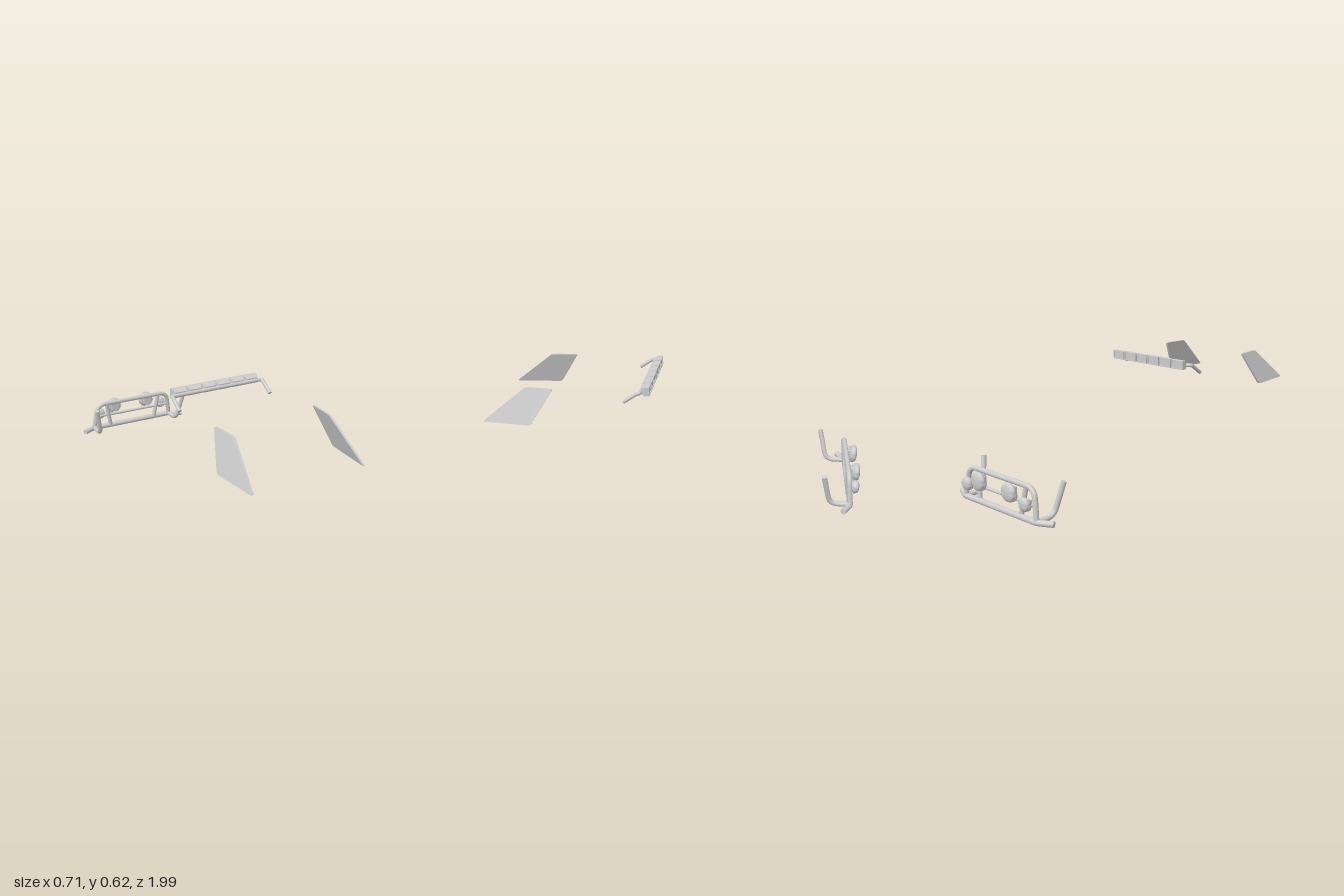
import * as THREE from 'three';
import { toCreasedNormals } from 'three/addons/utils/BufferGeometryUtils.js';

const material = new THREE.MeshStandardMaterial({ color: 0xcccccc });

function add(parent, name, geometry, x = 0, y = 0, z = 0) {
  const mesh = new THREE.Mesh(geometry, material);
  mesh.name = name;
  mesh.position.set(x, y, z);
  parent.add(mesh);
  return mesh;
}

function group(parent, name) {
  const g = new THREE.Group();
  g.name = name;
  parent.add(g);
  return g;
}

// Capped tube along straight runs with rounded corners.
function pipe(parent, name, points, radius, bend = 0.02) {
  const pts = points.map(p => new THREE.Vector3(...p));
  const path = new THREE.CurvePath();
  let from = pts[0];
  for (let i = 1; i < pts.length - 1; i++) {
    const p = pts[i];
    const toward = q => p.clone().add(q.clone().sub(p).setLength(Math.min(bend, q.distanceTo(p) * 0.48)));
    const a = toward(pts[i - 1]), b = toward(pts[i + 1]);
    path.add(new THREE.LineCurve3(from, a));
    path.add(new THREE.QuadraticBezierCurve3(a, p, b));
    from = b;
  }
  const end = pts[pts.length - 1];
  path.add(new THREE.LineCurve3(from, end));
  const g = group(parent, name);
  add(g, 'tube', new THREE.TubeGeometry(path, pts.length > 2 ? 120 : 1, radius, 16, false));
  const caps = [[pts[0], pts[0].clone().sub(pts[1])], [end, end.clone().sub(pts[pts.length - 2])]];
  for (const [p, dir] of caps) {
    const cap = add(g, 'tubeEnd', new THREE.CircleGeometry(radius, 16), p.x, p.y, p.z);
    cap.quaternion.setFromUnitVectors(new THREE.Vector3(0, 0, 1), dir.normalize());
  }
}

const mirrored = points => [...points, ...points.slice().reverse().map(([x, y, z]) => [-x, y, z])];

// Thin four-sided panel with rounded corners, leaning inward at the top.
function sidePanel(parent, side) {
  const corners = [[1.0, 0.41], [0.735, 0.41], [0.62, 0.597], [0.77, 0.597]].map(c => new THREE.Vector2(...c));
  const shape = new THREE.Shape();
  corners.forEach((p, i) => {
    const cut = q => p.clone().add(q.clone().sub(p).setLength(0.014));
    const a = cut(corners[(i + 3) % 4]), b = cut(corners[(i + 1) % 4]);
    if (i) shape.lineTo(a.x, a.y); else shape.moveTo(a.x, a.y);
    shape.quadraticCurveTo(p.x, p.y, b.x, b.y);
  });
  shape.closePath();
  const depth = 0.012;
  const geo = new THREE.ExtrudeGeometry(shape, { depth, bevelEnabled: false, curveSegments: 5 });
  const pos = geo.attributes.position;
  for (let i = 0; i < pos.count; i++) {
    const z = pos.getX(i), y = pos.getY(i), w = pos.getZ(i);
    const x = 0.338 - 0.085 * (z - 0.735) - 0.32 * (y - 0.41);
    pos.setXYZ(i, side * (x - depth / 2) - (w - depth / 2), y, z);
  }
  add(parent, side > 0 ? 'leftSidePanel' : 'rightSidePanel', toCreasedNormals(geo, 0.6));
}

// Rectangular lamp: tapered shell with a raised rim round the lens.
function barLamp(parent, x) {
  const g = group(parent, 'barLamp');
  g.position.set(x, 0.596, 0);
  const box = new THREE.BoxGeometry(0.081, 0.048, 0.042, 1, 1, 2);
  const pos = box.attributes.position;
  for (let i = 0; i < pos.count; i++) {
    if (pos.getZ(i) > 0.01) {
      pos.setX(i, pos.getX(i) * 0.78);
      pos.setY(i, pos.getY(i) * 0.55);
    }
  }
  add(g, 'lampShell', toCreasedNormals(box, 0.3), 0, 0, 0.142);
  const rectangle = (s, w, h) => s.moveTo(-w, -h).lineTo(w, -h).lineTo(w, h).lineTo(-w, h).closePath();
  const rim = rectangle(new THREE.Shape(), 0.0405, 0.024);
  rim.holes.push(rectangle(new THREE.Path(), 0.035, 0.0185));
  add(g, 'lampRim', new THREE.ExtrudeGeometry(rim, { depth: 0.005, bevelEnabled: false }), 0, 0, 0.116);
}

// Round lamp facing backward, with stepped housing and cradle bracket.
function roundLamp(parent, x, y, r, zBack) {
  const g = group(parent, 'roundLamp');
  g.position.set(x, y, zBack);
  const profile = [[0, 0], [0.5, 0.002], [0.8, 0.006], [0.95, 0.011], [1, 0.016], [1, 0.024], [0.9, 0.031], [0.7, 0.04], [0, 0.04]]
    .map(([k, d]) => new THREE.Vector2(k * r, d));
  const body = toCreasedNormals(new THREE.LatheGeometry(profile, 32).rotateX(Math.PI / 2), 0.6);
  add(g, 'lampBody', body);
  const w = r * 1.05;
  add(g, 'housing', new THREE.BoxGeometry(w, w, 0.012), 0, 0, 0.044);
  add(g, 'housingCover', new THREE.BoxGeometry(w * 0.8, w * 0.8, 0.006), 0, 0, 0.052);
  const strap = new THREE.Shape();
  strap.absarc(0, 0, r * 1.05, Math.PI, Math.PI * 2, false);
  strap.absarc(0, 0, r * 0.9, Math.PI * 2, Math.PI, true);
  add(g, 'bracket', new THREE.ExtrudeGeometry(strap, { depth: 0.01, bevelEnabled: false, curveSegments: 16 }), 0, 0, 0.022);
  add(g, 'mountFoot', new THREE.BoxGeometry(r * 0.5, 0.012, 0.03), 0, 0.093 - y, 0.04);
}

export function createModel() {
  const model = new THREE.Group();
  model.name = 'truckAccessories';

  for (const side of [1, -1]) sidePanel(model, side);

  // Roof light bar
  const roof = group(model, 'roofLightBar');
  pipe(roof, 'roofBar', mirrored([[0.272, 0.542, 0.25], [0.272, 0.59, 0.18], [0.272, 0.593, 0.163]]), 0.01, 0.015);
  for (let i = 0; i < 6; i++) barLamp(roof, (i - 2.5) * 0.0865);

  // Rear bumper frame
  const bumper = group(model, 'bumperFrame');
  pipe(bumper, 'lowerBar', mirrored([[0.347, 0.017, -0.908], [0.27, 0.017, -0.948]]), 0.0155, 0.02);
  pipe(bumper, 'hoop', mirrored([[0.268, 0.02, -0.946], [0.244, 0.174, -0.932]]), 0.0135, 0.055);
  pipe(bumper, 'middleBar', [[-0.253, 0.093, -0.939], [0.253, 0.093, -0.939]], 0.0085);
  for (const s of [1, -1]) {
    pipe(bumper, 'upright', [[s * 0.302, 0.188, -0.8], [s * 0.268, 0.018, -0.84], [s * 0.268, 0.018, -0.945]], 0.0135, 0.045);
    pipe(bumper, 'strut', [[s * 0.183, 0.17, -0.93], [s * 0.156, 0.022, -0.943]], 0.0125);
    roundLamp(bumper, s * 0.115, 0.136, 0.048, -1.0);
    roundLamp(bumper, s * 0.217, 0.099, 0.034, -0.992);
  }
  return model;
}
